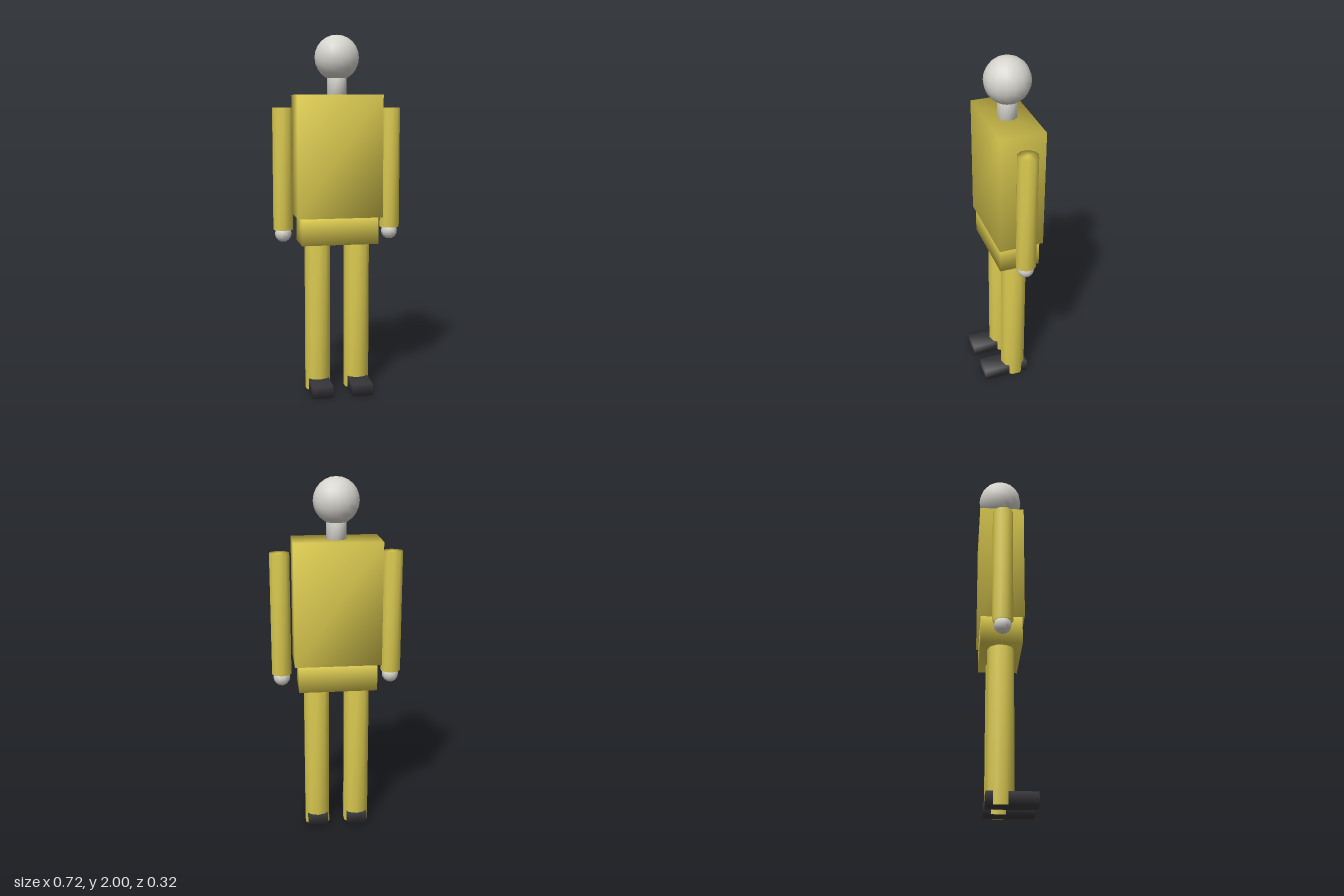
import * as THREE from 'three';
import { mergeVertices } from 'three/addons/utils/BufferGeometryUtils.js';

const material = (name, color) => {
  const m = new THREE.MeshStandardMaterial({ color });
  m.name = name;
  return m;
};

// Weld corners so normals blend smoothly over every edge
function weld(geometry) {
  geometry.deleteAttribute('uv');
  geometry.deleteAttribute('normal');
  const g = mergeVertices(geometry, 1e-4);
  g.computeVertexNormals();
  return g;
}

export function createModel() {
  const figure = new THREE.Group();
  figure.name = 'figure';
  const yellow = material('yellow clothing', 0xd9c84f);
  const grey = material('pale grey skin', 0xd6d4cd);
  const black = material('black shoes', 0x37363a);
  const bodyZ = -0.034;

  const add = (name, geometry, mat, x, y, z = bodyZ) => {
    const mesh = new THREE.Mesh(weld(geometry), mat);
    mesh.name = name;
    mesh.position.set(x, y, z);
    figure.add(mesh);
  };
  const box = (w, h, d) => new THREE.BoxGeometry(w, h, d);
  const tube = (r, h) => new THREE.CylinderGeometry(r, r, h, 10);

  // Head and trunk
  add('head', new THREE.SphereGeometry(0.124, 16, 12), grey, 0, 1.876);
  add('neck', tube(0.055, 0.12), grey, 0, 1.73);
  add('torso', box(0.474, 0.675, 0.248), yellow, 0, 1.3375, -0.035);
  add('pelvis', box(0.43, 0.15, 0.225), yellow, 0, 0.925);

  // Limbs, mirrored
  for (const [side, s] of [['left', 1], ['right', -1]]) {
    add(side + 'Arm', tube(0.056, 0.675), yellow, s * 0.305, 1.2675);
    add(side + 'Hand', new THREE.SphereGeometry(0.047, 10, 8), grey, s * 0.305, 0.907);
    add(side + 'Leg', tube(0.0725, 0.849), yellow, s * 0.113, 0.4255);
    add(side + 'Shoe', box(0.114, 0.068, 0.268), black, s * 0.113, 0.034, 0.024);
  }
  return figure;
}
